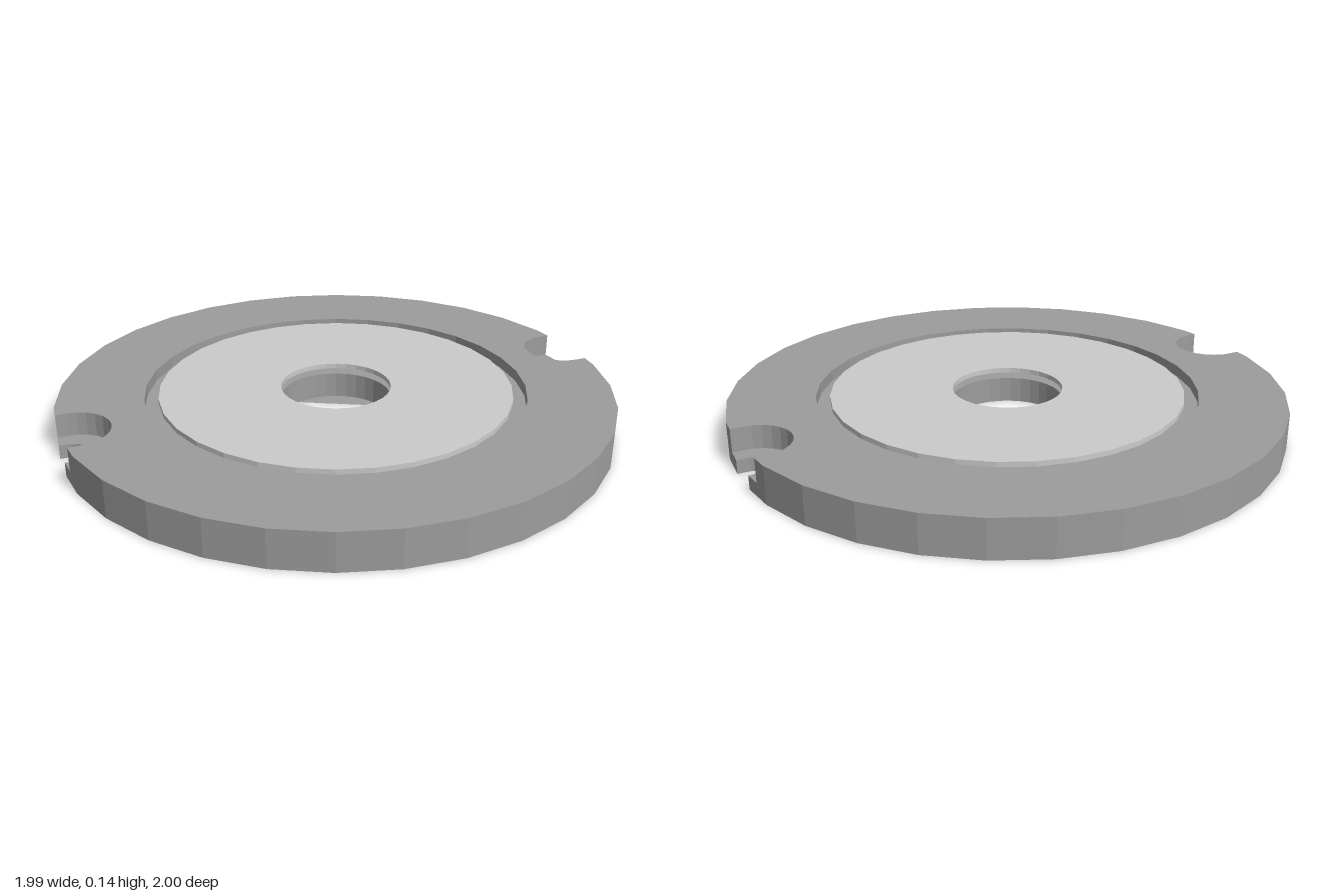
import * as THREE from 'three';

const SIDES = 32, HOLE = 0.2;

// Point on a circle in plan (x right, y towards the back)
const polar = (r, a, cx = 0) => new THREE.Vector2(cx + r * Math.cos(a), r * Math.sin(a));

const circle = (r) => Array.from({ length: SIDES }, (_, i) => polar(r, (i / SIDES) * Math.PI * 2));

// Right-hand edge notch: rim point, arc into the disc, rim point
function notch(r, cx) {
  const rimX = 1 - r * 0.0985;
  const pts = [new THREE.Vector2(rimX, -r)];
  for (let i = 0; i <= 12; i++) pts.push(polar(r, -Math.PI / 2 - (i / 12) * Math.PI, cx));
  pts.push(new THREE.Vector2(rimX, r));
  return pts;
}

// Faceted rim with a notch at each end of the x axis
function notchedOutline(r, cx) {
  const half = notch(r, cx);
  for (let i = 1; i < SIDES / 2; i++) half.push(polar(1, (i / SIDES) * Math.PI * 2));
  return [...half, ...half.map((p) => p.clone().negate())];
}

export function createModel() {
  const model = new THREE.Group();
  const baseMat = new THREE.MeshStandardMaterial({ color: 0x9d9d9d, flatShading: true });
  const thinMat = new THREE.MeshStandardMaterial({ color: 0x9d9d9d, side: THREE.DoubleSide });
  const plateMat = new THREE.MeshStandardMaterial({ color: 0xcccccc, flatShading: true });

  const add = (name, geometry, material, y) => {
    const mesh = new THREE.Mesh(geometry.rotateX(-Math.PI / 2), material);
    mesh.name = name;
    mesh.position.y = y;
    model.add(mesh);
  };
  const slab = (name, outline, holeRadius, y0, y1, material) => {
    const shape = new THREE.Shape(outline);
    shape.holes.push(new THREE.Path(circle(holeRadius)));
    add(name, new THREE.ExtrudeGeometry(shape, { depth: y1 - y0, bevelEnabled: false }), material, y0);
  };

  // Base disc: narrow screw slots below, wide counterbores above
  slab('baseBottom', notchedOutline(0.065, 0.965), HOLE, 0, 0.05, baseMat);
  slab('baseMiddle', notchedOutline(0.13, 0.95), HOLE, 0.05, 0.094, baseMat);
  slab('outerRing', notchedOutline(0.13, 0.95), 0.69, 0.094, 0.135, baseMat);

  // Thin plate held in the recess, with a gap around and under it
  slab('innerPlate', circle(0.64), HOLE, 0.117, 0.135, plateMat);

  // Thin webs partly closing the centre hole and the right-hand slot
  add('holeWeb', new THREE.ShapeGeometry(new THREE.Shape(circle(HOLE).slice(1, 11))), thinMat, 0);
  const slotWeb = [new THREE.Vector2(-0.994, -0.065)];
  for (let i = 0; i <= 9; i++) slotWeb.push(polar(0.065, -Math.PI / 2 + (i / 12) * Math.PI, -0.965));
  add('slotWeb', new THREE.ShapeGeometry(new THREE.Shape(slotWeb)), thinMat, 0);

  return model;
}
